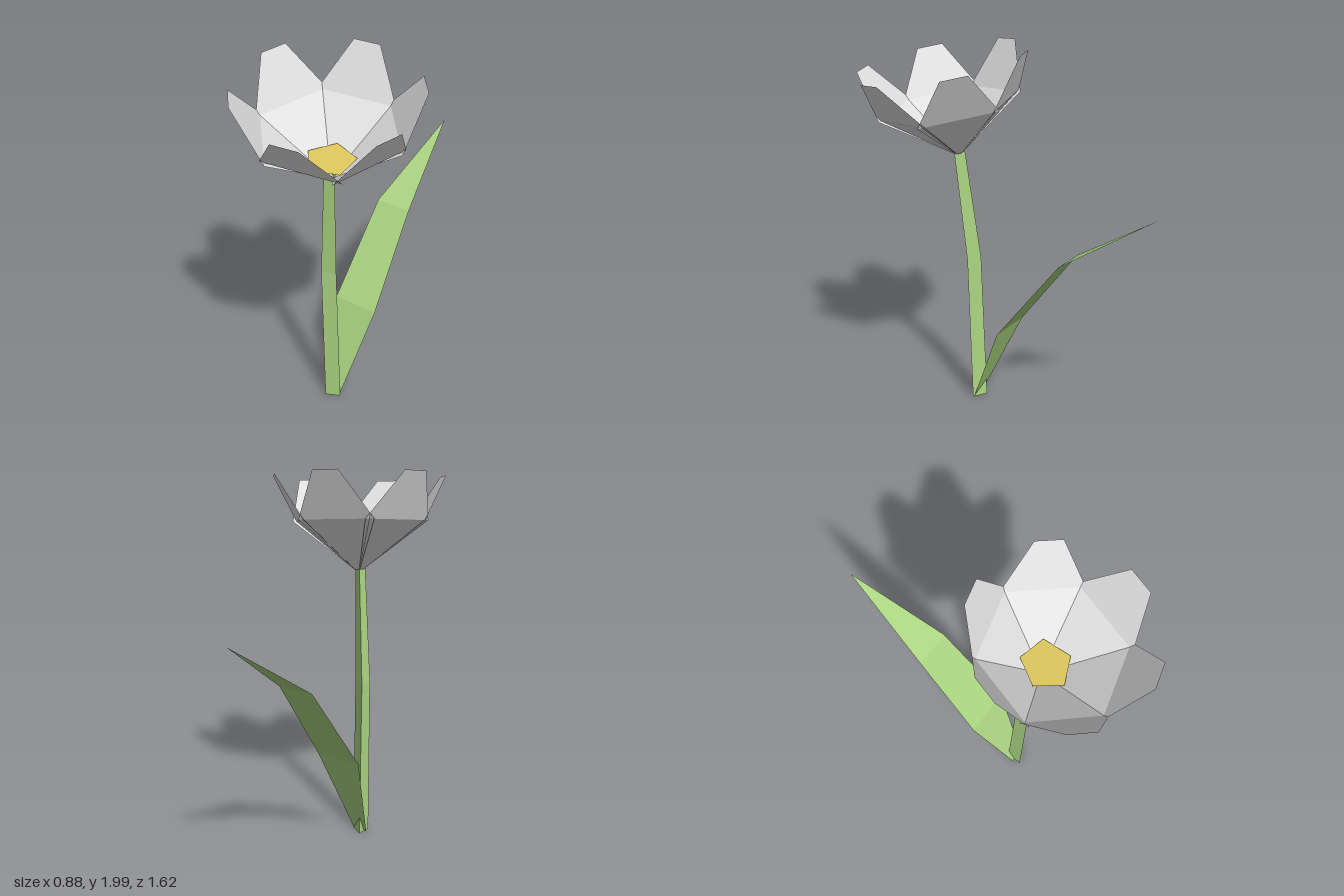
import * as THREE from 'three';

const mat = (name, color, side = THREE.DoubleSide) => {
  const m = new THREE.MeshStandardMaterial({ color, side });
  m.name = name;
  return m;
};

// Unshared triangles give crisp facets
function facets(points) {
  const g = new THREE.BufferGeometry();
  g.setAttribute('position', new THREE.Float32BufferAttribute(points.flat(), 3));
  g.computeVertexNormals();
  return g;
}

// Flat-folded blade through sections [halfWidth, y, z]
function blade(sections) {
  const tris = [];
  for (let i = 0; i < sections.length - 1; i++) {
    const [w0, y0, z0] = sections[i], [w1, y1, z1] = sections[i + 1];
    tris.push([-w0, y0, z0], [w0, y0, z0], [w1, y1, z1]);
    if (w1 > 0) tris.push([-w0, y0, z0], [w1, y1, z1], [-w1, y1, z1]);
  }
  return facets(tris);
}

// Closed prism through matching rings, listed counterclockwise from above
function prism(rings) {
  const tris = [], n = rings[0].length;
  for (let i = 0; i < rings.length - 1; i++) {
    for (let j = 0; j < n; j++) {
      const k = (j + 1) % n, lo = rings[i], hi = rings[i + 1];
      tris.push(lo[j], lo[k], hi[k], lo[j], hi[k], hi[j]);
    }
  }
  const bottom = rings[0], top = rings[rings.length - 1];
  for (let j = 1; j < n - 1; j++) {
    tris.push(top[0], top[j], top[j + 1], bottom[0], bottom[j + 1], bottom[j]);
  }
  return facets(tris);
}

export function createModel() {
  const model = new THREE.Group();
  model.name = 'flower';
  const green = mat('leaf green', 0xabd582);
  const white = mat('petal white', 0xe2e2e2);
  const yellow = mat('center yellow', 0xdcc65c);

  const add = (parent, name, geometry, material) => {
    const mesh = new THREE.Mesh(geometry, material);
    mesh.name = name;
    parent.add(mesh);
    return mesh;
  };

  // Three-sided bent stem
  add(model, 'stem', prism([
    [[-0.147, 0, 0.28], [-0.073, 0, 0.243], [-0.147, 0, 0.197]],
    [[-0.134, 0.84, 0.296], [-0.063, 0.84, 0.263], [-0.134, 0.84, 0.222]],
    [[-0.072, 1.44, 0.328], [-0.022, 1.44, 0.308], [-0.072, 1.44, 0.275]],
  ]), green);

  // Leaf arching backwards
  const leaf = add(model, 'leaf', blade([
    [0.04, 0, 0.24], [0.13, 0.48, 0.03], [0.101, 0.94, -0.32], [0, 1.26, -0.81],
  ]), green);
  leaf.position.x = -0.122;

  // Blossom, tilted along its own axis
  const blossom = new THREE.Group();
  blossom.name = 'blossom';
  const axis = new THREE.Vector3(0.103, 0.985, 0.134).normalize();
  const side = axis.clone().cross(new THREE.Vector3(0.1, -0.075, 0.425)).normalize();
  const front = side.clone().cross(axis);
  blossom.quaternion.setFromRotationMatrix(new THREE.Matrix4().makeBasis(side, axis, front));
  blossom.position.set(-0.05, 1.435, 0.3);
  model.add(blossom);

  // Six overlapping petals
  const petalShape = blade([[0.014, 0, 0.02], [0.204, 0.252, 0.309], [0.068, 0.485, 0.443]]);
  for (let i = 0; i < 6; i++) {
    add(blossom, 'petal' + (i + 1), petalShape, white).rotation.y = i * Math.PI / 3;
  }

  // Five-sided flower center
  const disc = new THREE.CircleGeometry(0.127, 5, -Math.PI / 4);
  disc.rotateX(-Math.PI / 2);
  add(blossom, 'flowerCenter', disc, yellow).position.y = 0.1;

  return model;
}
